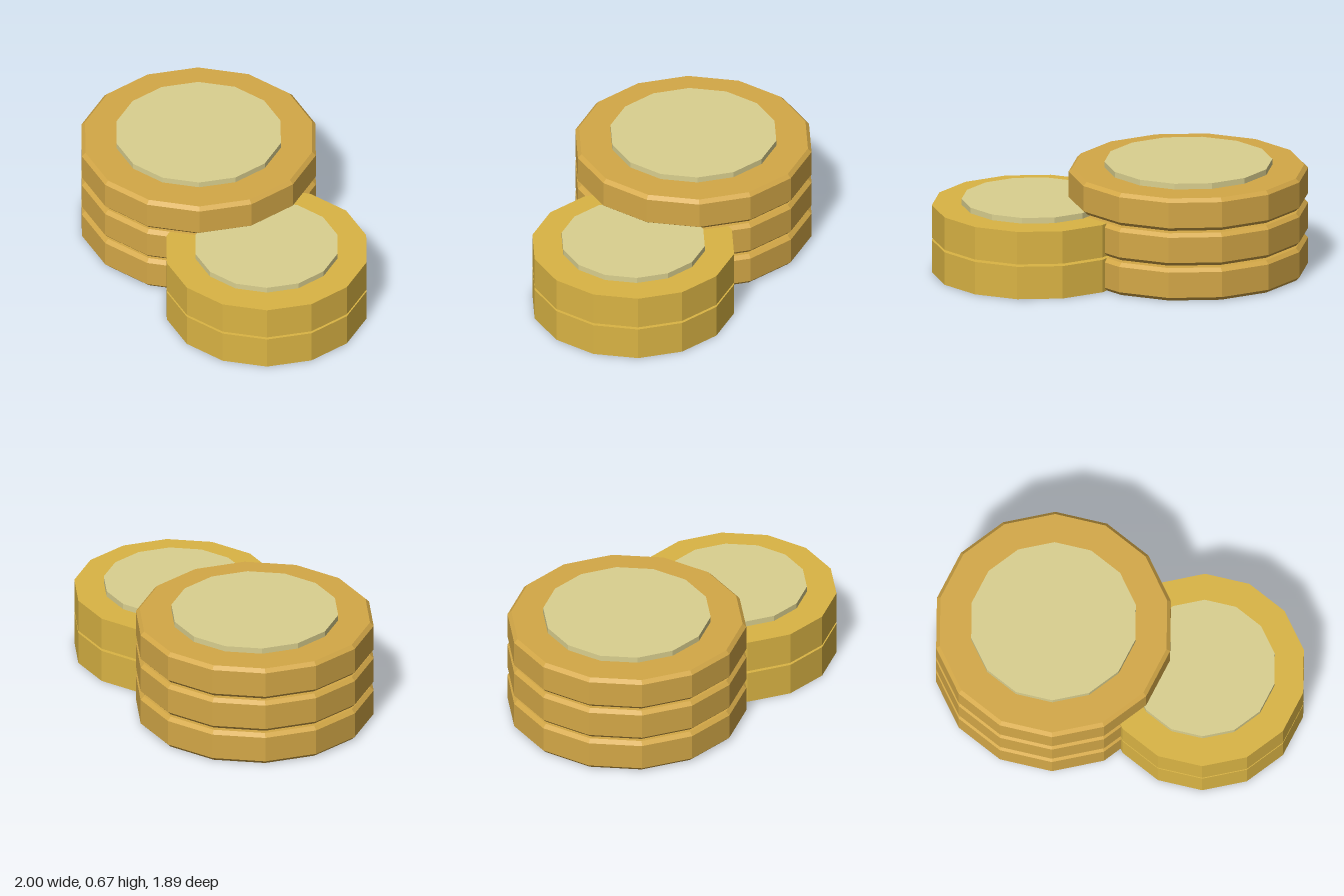
import * as THREE from 'three';

const SIDES = 14;
const STEP = 0.215; // coin thickness plus the gap above it
const THICK = 0.2;

export function createModel() {
  const model = new THREE.Group();
  model.name = 'coinStacks';

  const material = (name, color) => {
    const m = new THREE.MeshStandardMaterial({ color, flatShading: true });
    m.name = name;
    return m;
  };
  const deepGold = material('deep gold', 0xd4a847);
  const brightGold = material('bright gold', 0xdab444);
  const paleGold = material('pale gold', 0xdad08f);

  // Solid disc with an optional chamfer on both rims, standing on y = 0
  const disc = (radius, height, bevel) => {
    if (!bevel) return new THREE.CylinderGeometry(radius, radius, height, SIDES).translate(0, height / 2, 0);
    const profile = [
      [0, 0], [radius - bevel, 0], [radius, bevel],
      [radius, height - bevel], [radius - bevel, height], [0, height],
    ].map(([x, y]) => new THREE.Vector2(x, y));
    return new THREE.LatheGeometry(profile, SIDES);
  };

  // Stack of separate coins with a raised medallion on the top one
  const addStack = ({ name, x, z, count, radius, bevel, medallion, gold }) => {
    const stack = new THREE.Group();
    stack.name = name;
    stack.position.set(x, 0, z);
    const coin = disc(radius, THICK, bevel);
    for (let i = 0; i < count; i++) {
      const mesh = new THREE.Mesh(coin, gold);
      mesh.name = `coin${i + 1}`;
      mesh.position.y = i * STEP;
      stack.add(mesh);
    }
    const top = new THREE.Mesh(disc(medallion, 0.035, 0), paleGold);
    top.name = 'medallion';
    top.position.y = (count - 1) * STEP + THICK;
    stack.add(top);
    model.add(stack);
  };

  addStack({ name: 'tallStack', x: -0.307, z: -0.235, count: 3, radius: 0.71, bevel: 0.022, medallion: 0.498, gold: deepGold });
  addStack({ name: 'shortStack', x: 0.408, z: 0.335, count: 2, radius: 0.606, bevel: 0, medallion: 0.43, gold: brightGold });

  return model;
}
